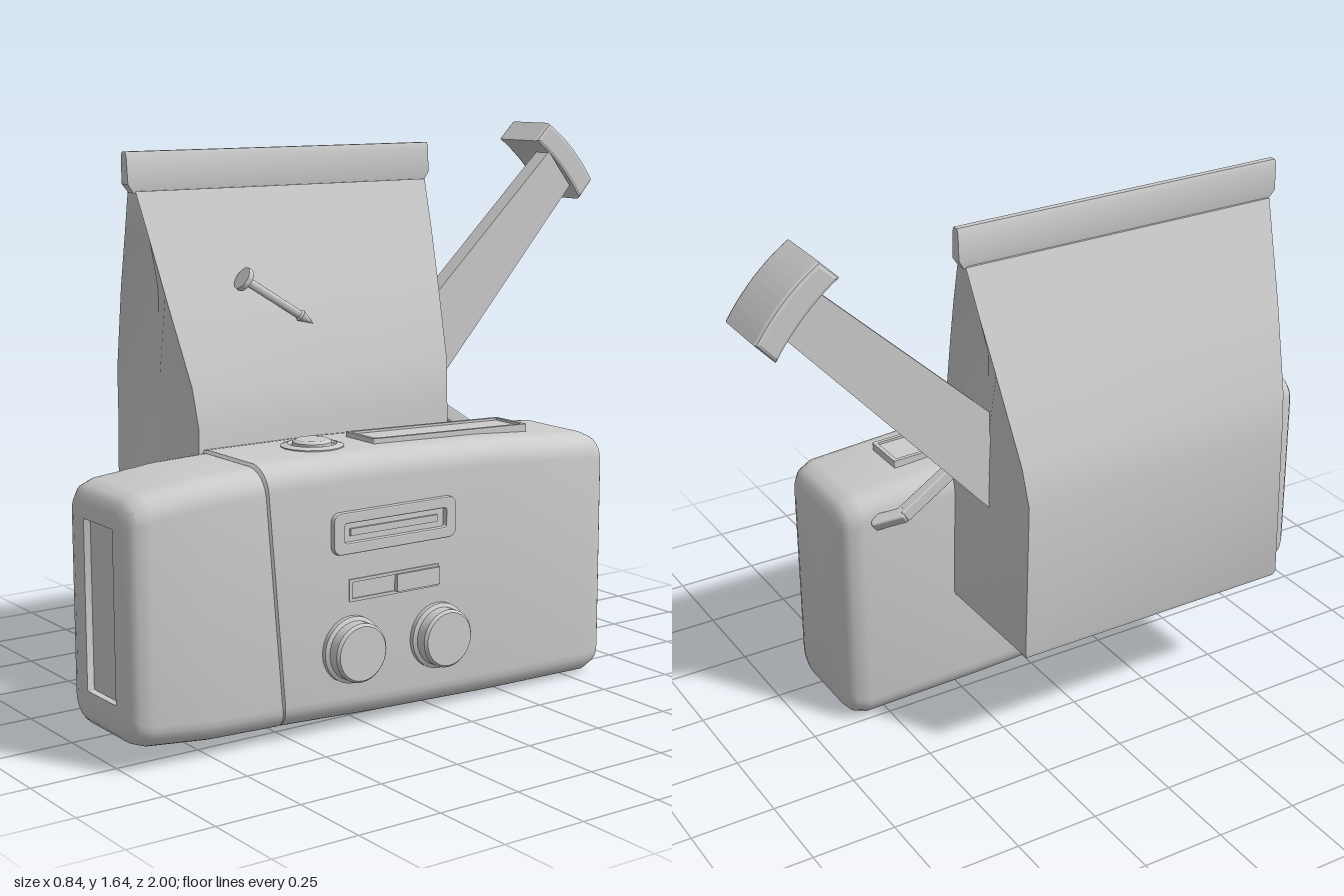
import * as THREE from 'three';
import { toCreasedNormals } from 'three/addons/utils/BufferGeometryUtils.js';
import { RoundedBoxGeometry } from 'three/addons/geometries/RoundedBoxGeometry.js';

const material = new THREE.MeshStandardMaterial({ color: 0xcccccc });
const V = (x, y, z) => new THREE.Vector3(x, y, z);

// Skin closed rings of equal length and cap both ends.
function loft(rings, crease = 0.6) {
  const n = rings[0].length, pos = [], idx = [];
  rings.forEach(r => r.forEach(p => pos.push(p.x, p.y, p.z)));
  for (let i = 0; i < rings.length - 1; i++) {
    for (let j = 0; j < n; j++) {
      const a = i * n + j, b = i * n + (j + 1) % n;
      idx.push(a, b, b + n, a, b + n, a + n);
    }
  }
  [0, rings.length - 1].forEach((k, end) => {
    const c = rings[k].reduce((s, p) => s.add(p), V(0, 0, 0)).divideScalar(n);
    const ci = pos.length / 3;
    pos.push(c.x, c.y, c.z);
    for (let j = 0; j < n; j++) {
      const a = k * n + j, b = k * n + (j + 1) % n;
      if (end) idx.push(a, b, ci); else idx.push(b, a, ci);
    }
  });
  const g = new THREE.BufferGeometry();
  g.setAttribute('position', new THREE.Float32BufferAttribute(pos, 3));
  g.setIndex(idx);
  return toCreasedNormals(g, crease);
}

// Rounded rectangle ring facing +z; lean shifts z with height.
function roundRing(z, x0, x1, y0, y1, r, inset = 0, lean = 0) {
  x0 += inset; x1 -= inset; y0 += inset; y1 -= inset;
  const out = [], steps = 6;
  [[x1 - r, y1 - r], [x0 + r, y1 - r], [x0 + r, y0 + r], [x1 - r, y0 + r]].forEach(([cx, cy], q) => {
    for (let i = 0; i <= steps; i++) {
      const a = (q + i / steps) * Math.PI / 2;
      const y = cy + r * Math.sin(a);
      out.push(V(cx + r * Math.cos(a), y, z + lean * (y - 0.4)));
    }
  });
  return out;
}

function roundRect(w, h, r, Type = THREE.Shape) {
  const pts = roundRing(0, -w / 2, w / 2, -h / 2, h / 2, r);
  return new Type(pts.map(p => new THREE.Vector2(p.x, p.y)));
}

// Extrude a (z, y) outline along x, from x = 0 towards -x.
function sideExtrude(shape, depth, bevel = 0) {
  const g = new THREE.ExtrudeGeometry(shape, {
    depth: depth - 2 * bevel, bevelEnabled: bevel > 0, bevelSize: bevel,
    bevelThickness: bevel, bevelOffset: -bevel, bevelSegments: 2, curveSegments: 10
  });
  return g.translate(0, 0, bevel).rotateY(-Math.PI / 2);
}

const outline = pts => new THREE.Shape(pts.map(p => new THREE.Vector2(p[0], p[1])));

function lathe(pts, sides = 32) {
  const g = new THREE.LatheGeometry(pts.map(p => new THREE.Vector2(p[0], p[1])), sides);
  return toCreasedNormals(g, 0.5);
}

// Turn geometry built along +y onto the line from a to b.
function along(g, a, b) {
  const q = new THREE.Quaternion().setFromUnitVectors(V(0, 1, 0), b.clone().sub(a).normalize());
  return g.applyQuaternion(q).translate(a.x, a.y, a.z);
}

export function createModel() {
  const model = new THREE.Group();
  const add = (name, geometry, x = 0, y = 0, z = 0) => {
    const m = new THREE.Mesh(geometry, material);
    m.name = name;
    m.position.set(x, y, z);
    model.add(m);
    return m;
  };

  // Main case: gently tapering rounded box with a leaning seam
  const L = -0.01, R = 0.36;
  add('mainCase', loft([
    roundRing(-0.63, L, R, 0, 0.735, 0.05, 0.055),
    roundRing(-0.622, L, R, 0, 0.735, 0.06, 0.03),
    roundRing(-0.605, L, R, 0, 0.735, 0.065, 0.012),
    roundRing(-0.565, L, R, 0, 0.74, 0.07),
    roundRing(-0.2, L, R, 0.006, 0.765, 0.07),
    roundRing(0.2, L, R, 0.02, 0.778, 0.07),
    roundRing(0.56, L, R, 0.037, 0.778, 0.07, 0, 0.08),
    roundRing(0.568, L, R, 0.037, 0.778, 0.07, 0.008, 0.08)
  ]));

  // Front cap with a sunken rectangular panel
  const panel = [0.1, 0.256, 0.174, 0.648, 0.002];
  add('frontCap', loft([
    roundRing(0.56, L, R, 0.028, 0.776, 0.07, 0.006, 0.08),
    roundRing(0.75, L, R, 0.038, 0.768, 0.07, 0.004),
    roundRing(0.94, L, R, 0.055, 0.75, 0.07, 0.006),
    roundRing(0.977, L, R, 0.058, 0.747, 0.065, 0.016),
    roundRing(0.993, L, R, 0.058, 0.747, 0.06, 0.032),
    roundRing(1.0, L, R, 0.058, 0.747, 0.05, 0.055),
    roundRing(1.0, ...panel),
    roundRing(0.98, ...panel)
  ]));

  // Side display: raised frame, window and slot bar
  const frame = roundRect(0.422, 0.118, 0.025);
  frame.holes.push(roundRect(0.35, 0.055, 0.008, THREE.Path));
  add('displayFrame', sideExtrude(frame, 0.03, 0.004), 0.376, 0.567, 0.174);
  add('displaySlot', new THREE.BoxGeometry(0.01, 0.02, 0.3), 0.362, 0.567, 0.174);

  // Slider switch
  const track = roundRect(0.31, 0.064, 0.002);
  track.holes.push(roundRect(0.29, 0.046, 0.002, THREE.Path));
  add('sliderTrack', sideExtrude(track, 0.02), 0.364, 0.401, 0.171);
  add('sliderKnob', new THREE.BoxGeometry(0.03, 0.05, 0.15), 0.358, 0.401, 0.094);

  // Two round side knobs
  for (const [y, z] of [[0.235, 0.32], [0.225, 0.02]]) {
    const g = lathe([[0.095, 0], [0.095, 0.03], [0.084, 0.036], [0.084, 0.068], [0.077, 0.076], [0, 0.076]]);
    add('sideKnob', g.rotateZ(-Math.PI / 2), 0.344, y, z);
  }

  // Top strip window and round button
  const strip = roundRect(0.14, 0.56, 0.004);
  strip.holes.push(roundRect(0.116, 0.536, 0.002, THREE.Path));
  const stripFrame = new THREE.ExtrudeGeometry(strip, { depth: 0.03, bevelEnabled: false }).rotateX(-Math.PI / 2);
  const slope = -0.03;
  add('topStripFrame', stripFrame, 0.18, 0.753, -0.118).rotation.x = slope;
  add('topStripWindow', new THREE.BoxGeometry(0.116, 0.03, 0.536), 0.18, 0.761, -0.118).rotation.x = slope;
  add('buttonCollar', lathe([[0.09, 0], [0.09, 0.014], [0.07, 0.02], [0.064, 0.012], [0, 0.012]], 16), 0.175, 0.767, 0.32);
  add('topButton', lathe([[0.056, 0], [0.056, 0.024], [0.045, 0.031], [0, 0.031]], 24), 0.175, 0.767, 0.32);

  // Gusseted bag: half width, front z, back z and side-fold depth by height
  const bagX = -0.19;
  const bagRing = ([y, w, zf, zb, fold]) => [
    V(bagX + w, y, zf), V(bagX + w, y, (zf + zb) / 2), V(bagX + w, y, zb), V(bagX, y, zb + fold),
    V(bagX - w, y, zb), V(bagX - w, y, (zf + zb) / 2), V(bagX - w, y, zf), V(bagX, y, zf - fold)
  ];
  add('bag', loft([
    [0.345, 0.226, 0.605, -0.27, 0], [0.36, 0.23, 0.612, -0.275, 0], [0.83, 0.23, 0.605, -0.263, 0.002],
    [0.95, 0.212, 0.615, -0.275, 0.02], [1.2, 0.125, 0.645, -0.303, 0.05],
    [1.35, 0.07, 0.66, -0.32, 0.06], [1.48, 0.022, 0.674, -0.332, 0.04]
  ].map(bagRing), 0.45));
  add('bagTopFold', loft([
    [1.475, 0.014, 0.676, -0.334, 0], [1.5, 0.018, 0.695, -0.35, 0],
    [1.575, 0.015, 0.697, -0.35, 0], [1.59, 0.009, 0.697, -0.35, 0]
  ].map(bagRing), 0.4));

  // Nail stuck through the side of the bag
  const headEnd = V(-0.04, 1.235, 0.41), tip = V(-0.022, 1.09, 0.18);
  add('nail', along(lathe([
    [0, 0], [0.034, 0], [0.036, 0.008], [0.034, 0.016], [0.013, 0.022],
    [0.012, 0.215], [0.018, 0.222], [0, 0.272]
  ], 14), headEnd, tip));

  // Hammer: tapering shaft and curved head
  add('hammerShaft', sideExtrude(outline([
    [-0.12, 0.57], [-0.12, 0.9], [-0.81, 1.55], [-0.9, 1.44]
  ]), 0.058), -0.144);
  const head = new THREE.Shape();
  head.moveTo(-0.81, 1.64);
  head.quadraticCurveTo(-0.92, 1.57, -0.995, 1.455);
  head.lineTo(-0.94, 1.395);
  head.quadraticCurveTo(-0.865, 1.51, -0.755, 1.585);
  head.closePath();
  add('hammerHead', sideExtrude(head, 0.19, 0.012), -0.14);

  // Bent strap joining the case to the bag
  const bend = [V(0.0, 0.66, -0.53), V(-0.05, 0.69, -0.46), V(-0.05, 0.83, -0.24)];
  for (let i = 0; i < 2; i++) {
    const len = bend[i].distanceTo(bend[i + 1]) + 0.01;
    add('strap', along(new RoundedBoxGeometry(0.035, len, 0.04, 2, 0.006).translate(0, len / 2, 0), bend[i], bend[i + 1]));
  }

  // Stepped mount under the bag, on the inner side of the case
  add('bagMount', lathe([
    [0.24, 0], [0.24, 0.075], [0.2, 0.115], [0.16, 0.115], [0.16, 0.22], [0, 0.22]
  ]).rotateZ(Math.PI / 2), 0.0, 0.38, 0.17);

  return model;
}
